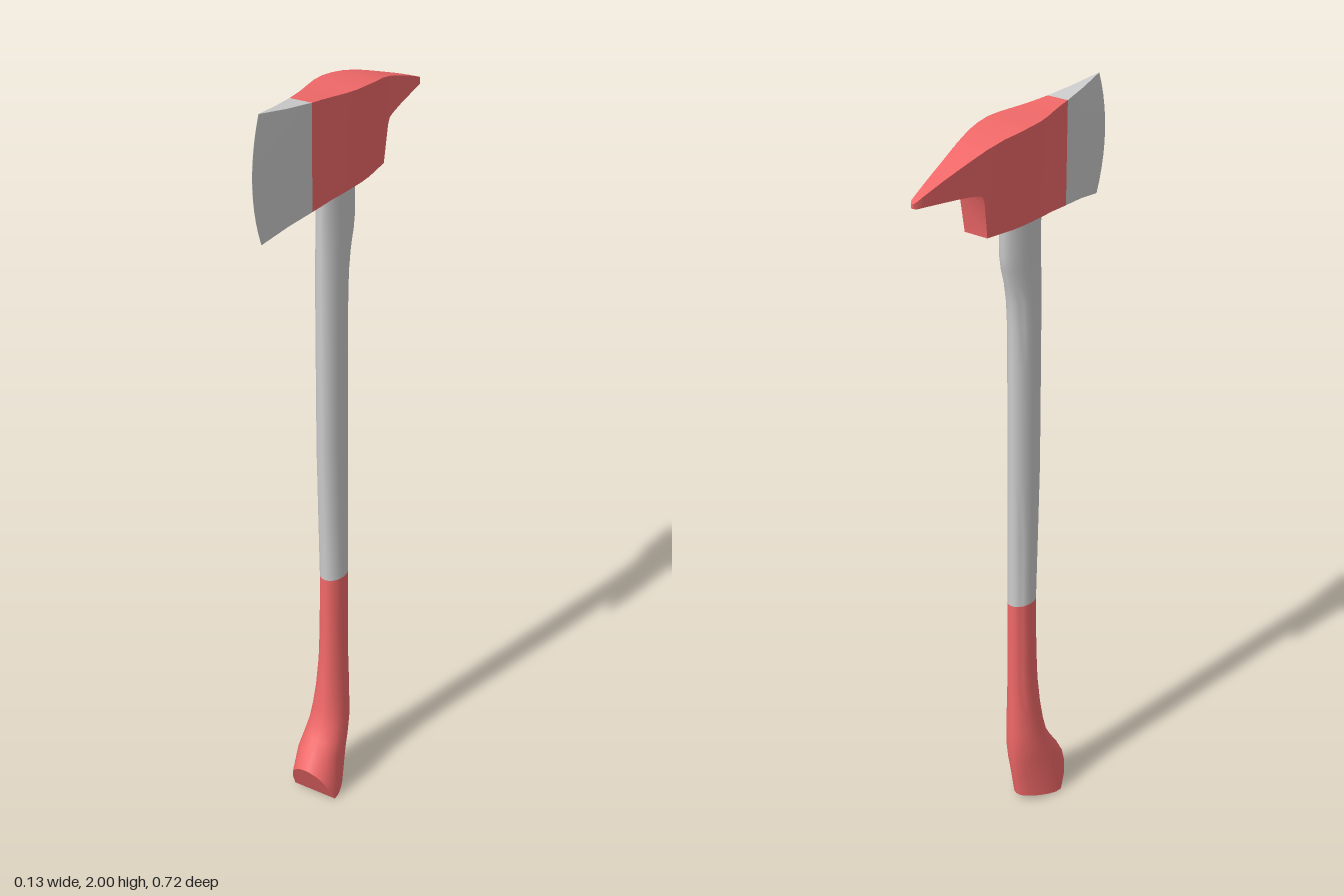
import * as THREE from 'three';
import { toCreasedNormals } from 'three/addons/utils/BufferGeometryUtils.js';

const grey = new THREE.MeshStandardMaterial({ color: 0xcccccc });
const red = new THREE.MeshStandardMaterial({ color: 0xf06868 });

// Skin a list of closed, left-right symmetric rings; ends may be capped with strips
function loft(name, rings, material, { capStart = false, capEnd = false, crease = 0.6 } = {}) {
  const n = rings[0].length, index = [];
  for (let k = 0; k < rings.length - 1; k++) {
    for (let i = 0; i < n; i++) {
      const j = (i + 1) % n, a = k * n, b = a + n;
      index.push(a + i, a + j, b + i, a + j, b + j, b + i);
    }
  }
  const cap = (o, flip) => {
    for (let i = 0; i < n / 2 - 1; i++) {
      const [p, q, r, s] = [o + i, o + i + 1, o + n - 2 - i, o + n - 1 - i];
      if (flip) index.push(p, r, q, p, s, r);
      else index.push(p, q, r, p, r, s);
    }
  };
  if (capStart) cap(0, true);
  if (capEnd) cap((rings.length - 1) * n, false);
  const geo = new THREE.BufferGeometry();
  geo.setAttribute('position', new THREE.Float32BufferAttribute(rings.flat(2), 3));
  geo.setIndex(index);
  const mesh = new THREE.Mesh(toCreasedNormals(geo, crease), material);
  mesh.name = name;
  return mesh;
}

// Head section at z: flat top and bottom, sides drawn in towards the bottom
const ROWS = 10;
function headRing([z, top, bottom, width, taper, bulge = 0]) {
  const right = [], left = [];
  for (let i = 0; i <= ROWS; i++) {
    const v = i / ROWS, y = bottom + (top - bottom) * v;
    const x = width * (1 - taper * (top - y) / 0.24);
    const zz = z + bulge * (1 - (2 * v - 1) ** 2);
    right.push([x - 0.002, y, zz]);
    left.unshift([-x - 0.002, y, zz]);
  }
  return [...right, ...left];
}

// Handle section: an oval between a back and a front point, fuller to the front by "egg"
const SIDES = 24;
function handleRing([zBack, yBack, zFront, yFront, width, egg = 0]) {
  const ring = [];
  for (let i = 0; i < SIDES; i++) {
    const a = (i + 0.5) * 2 * Math.PI / SIDES, t = (1 - Math.cos(a)) / 2;
    ring.push([width * Math.sin(a - egg * Math.sin(a)),
      yBack + (yFront - yBack) * t, zBack + (zFront - zBack) * t]);
  }
  return ring;
}

export function createModel() {
  const group = new THREE.Group();

  // Head body with rear spike: z, top, bottom, half width, taper
  const body = [
    [-0.36, 1.879, 1.868, 0.003, 0], [-0.353, 1.883, 1.866, 0.008, 0], [-0.335, 1.89, 1.865, 0.011, 0.1],
    [-0.285, 1.908, 1.861, 0.019, 0.2], [-0.23, 1.926, 1.856, 0.028, 0.28], [-0.18, 1.942, 1.85, 0.037, 0.28],
    [-0.163, 1.947, 1.845, 0.04, 0.28], [-0.155, 1.95, 1.83, 0.0415, 0.28], [-0.142, 1.953, 1.738, 0.044, 0.28],
    [-0.1, 1.963, 1.737, 0.052, 0.28], [-0.06, 1.968, 1.735, 0.059, 0.28], [-0.02, 1.972, 1.734, 0.0615, 0.28],
    [0.02, 1.973, 1.733, 0.059, 0.27], [0.06, 1.974, 1.731, 0.051, 0.22], [0.1, 1.976, 1.729, 0.041, 0.14],
    [0.13, 1.978, 1.726, 0.035, 0.08], [0.165, 1.98, 1.723, 0.029, 0.03],
  ];
  group.add(loft('headBody', body.map(headRing), red, { capStart: true }));

  // Cutting blade, thinning to a bowed edge
  const blade = [
    [0.165, 1.98, 1.723, 0.029, 0.03], [0.245, 1.988, 1.714, 0.0155, 0, 0.012], [0.33, 2.0, 1.698, 0.0003, 0, 0.03],
  ];
  group.add(loft('blade', blade.map(headRing), grey, { capEnd: true }));

  // Handle shaft, thickened under the head: zBack, yBack, zFront, yFront, half width
  const shaft = [
    [-0.045, 1.76, 0.095, 1.76, 0.033], [-0.044, 1.65, 0.095, 1.65, 0.033], [-0.038, 1.615, 0.095, 1.615, 0.033],
    [-0.024, 1.57, 0.095, 1.57, 0.033], [-0.015, 1.52, 0.095, 1.52, 0.033], [-0.011, 1.46, 0.095, 1.46, 0.033],
    [-0.01, 1.35, 0.095, 1.35, 0.033], [-0.01, 1.05, 0.094, 1.05, 0.033], [-0.01, 0.85, 0.087, 0.85, 0.033],
    [-0.01, 0.665, 0.08, 0.665, 0.033],
  ];
  group.add(loft('shaft', shaft.map(handleRing), grey));

  // Grip, sweeping forward into a flared foot
  const grip = [
    [-0.01, 0.665, 0.08, 0.665, 0.033], [-0.01, 0.5, 0.083, 0.5, 0.033], [-0.01, 0.4, 0.088, 0.4, 0.035],
    [-0.01, 0.31, 0.097, 0.32, 0.04], [-0.01, 0.25, 0.106, 0.26, 0.045, 0.08], [-0.01, 0.2, 0.117, 0.215, 0.05, 0.15],
    [-0.004, 0.145, 0.137, 0.18, 0.055, 0.25], [0.006, 0.09, 0.162, 0.145, 0.0595, 0.32],
  ].map(handleRing);
  // The foot's end is cut by two planes meeting in a cross ridge
  const ridge = 0.134;
  grip.push(handleRing([0.02, 0, 0.187, 0, 0.064, 0.35]).map(([x, , z]) => [x,
    z < ridge ? 0.025 - 0.025 * (z - 0.02) / (ridge - 0.02) : 0.11 * (z - ridge) / (0.187 - ridge), z]));
  group.add(loft('grip', grip, red, { capEnd: true, crease: 0.7 }));

  return group;
}
